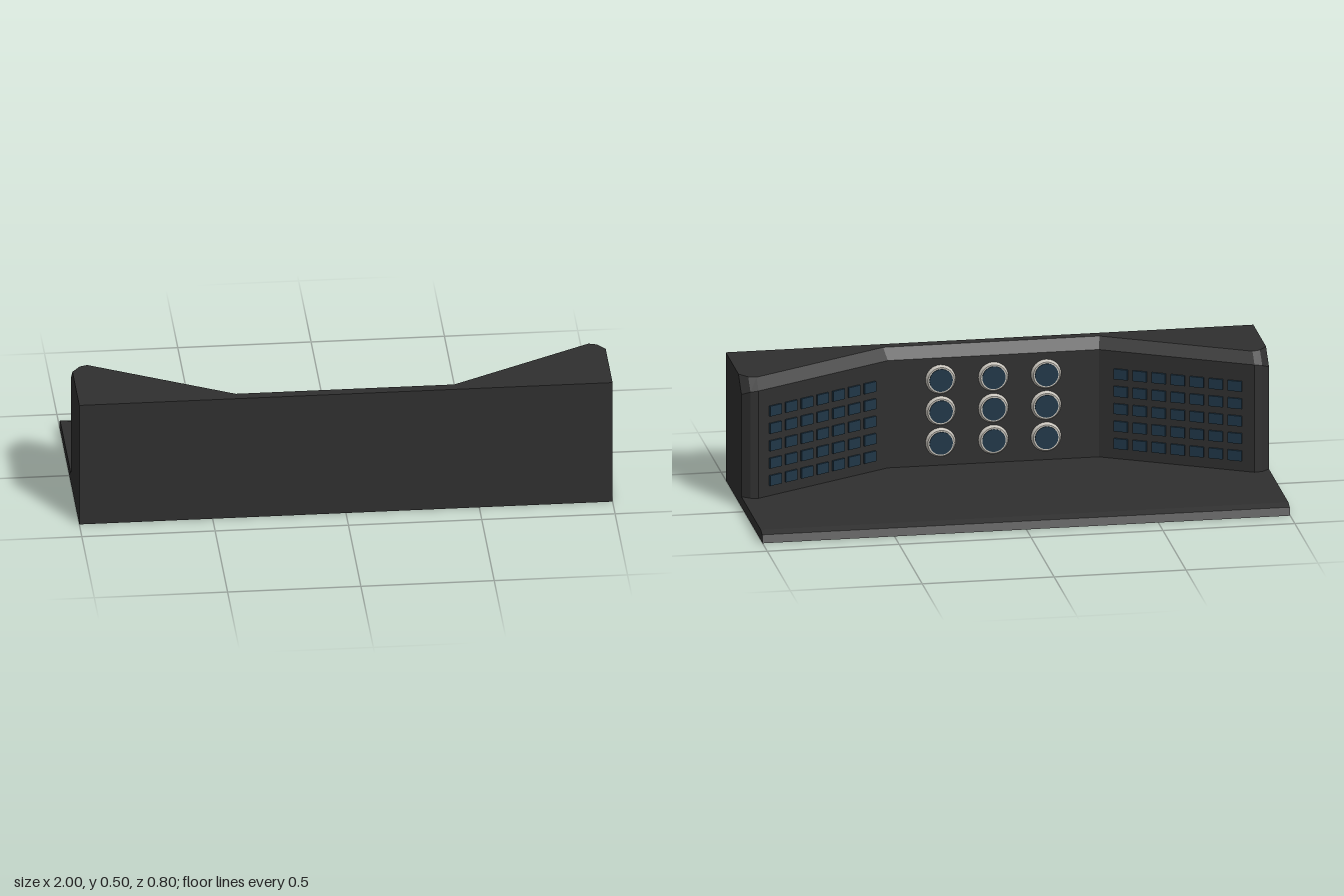
import * as THREE from 'three';

const body = new THREE.MeshStandardMaterial({ color: 0x2f2f2f });
body.name = 'charcoal body';
const rim = new THREE.MeshStandardMaterial({ color: 0xc8c4bc });
rim.name = 'pale rim';
const blue = new THREE.MeshStandardMaterial({ color: 0x1f3647 });
blue.name = 'dark blue';

function add(parent, name, geometry, material) {
  const mesh = new THREE.Mesh(geometry, material);
  mesh.name = name;
  parent.add(mesh);
  return mesh;
}

// Floor slab with a rounded-off edge, extruded along x
function baseGeometry() {
  const s = new THREE.Shape([[0.4, 0], [0.4, 0.04], [-0.36, 0.04], [-0.39, 0.03], [-0.4, 0]]
    .map(([z, y]) => new THREE.Vector2(z, y)));
  const g = new THREE.ExtrudeGeometry(s, { depth: 2, bevelEnabled: false });
  return g.rotateY(-Math.PI / 2).translate(1, 0, 0);
}

// Winged console: cross-sections swept from x = +1 to x = -1
function consoleGeometry() {
  // wall x, wall z, bevel foot y, top x, top z
  const half = [
    [1, 0.06, 0.44, 1, 0.125],
    [0.97, 0.035, 0.455, 0.97, 0.085],
    [0.94, 0.03, 0.46, 0.94, 0.075],
    [0.4, 0.32, 0.46, 0.41, 0.36],
  ];
  const mirrored = half.map(([x, z, y, tx, tz]) => [-x, z, y, -tx, tz]).reverse();
  const rings = [...half, ...mirrored].map(([x, z, y, tx, tz]) => [
    [x, 0.04, z], [x, y, z], [tx, 0.5, tz], [tx, 0.5, 0.4], [x, 0.04, 0.4],
  ]);
  const pos = [];
  const tri = (a, b, c) => pos.push(...a, ...b, ...c);
  for (let i = 0; i < rings.length - 1; i++) {
    for (let j = 0; j < 5; j++) {
      const k = (j + 1) % 5;
      tri(rings[i][j], rings[i + 1][j], rings[i + 1][k]);
      tri(rings[i][j], rings[i + 1][k], rings[i][k]);
    }
  }
  const first = rings[0], last = rings[rings.length - 1];
  for (let j = 1; j < 4; j++) {
    tri(first[0], first[j], first[j + 1]);
    tri(last[0], last[j + 1], last[j]);
  }
  const g = new THREE.BufferGeometry();
  g.setAttribute('position', new THREE.Float32BufferAttribute(pos, 3));
  g.computeVertexNormals();
  return g;
}

export function createModel() {
  const model = new THREE.Group();
  model.name = 'controlConsole';
  add(model, 'base', baseGeometry(), body);
  add(model, 'console', consoleGeometry(), body);

  // Round dials on the centre panel
  const dials = new THREE.Group();
  dials.name = 'dials';
  model.add(dials);
  const rimGeo = new THREE.CylinderGeometry(0.05, 0.057, 0.014, 32).rotateX(-Math.PI / 2);
  const faceGeo = new THREE.CylinderGeometry(0.044, 0.044, 0.004, 32).rotateX(-Math.PI / 2);
  for (const x of [-0.2, 0, 0.2]) {
    for (const y of [0.13, 0.253, 0.376]) {
      add(dials, 'dialRim', rimGeo, rim).position.set(x, y, 0.313);
      add(dials, 'dialFace', faceGeo, blue).position.set(x, y, 0.305);
    }
  }

  // Key grids on both angled wings
  const keyGeo = new THREE.BoxGeometry(0.054, 0.04, 0.016);
  const slope = Math.atan2(0.29, 0.54);
  for (const side of [1, -1]) {
    const keys = new THREE.Group();
    keys.name = side > 0 ? 'leftKeys' : 'rightKeys';
    model.add(keys);
    for (let c = 0; c < 7; c++) {
      const t = 0.125 + c * 0.122;
      for (let r = 0; r < 5; r++) {
        const key = add(keys, 'key', keyGeo, blue);
        key.position.set(side * (0.94 - 0.54 * t), 0.1 + r * 0.068, 0.03 + 0.29 * t);
        key.rotation.y = side * slope;
      }
    }
  }
  return model;
}
